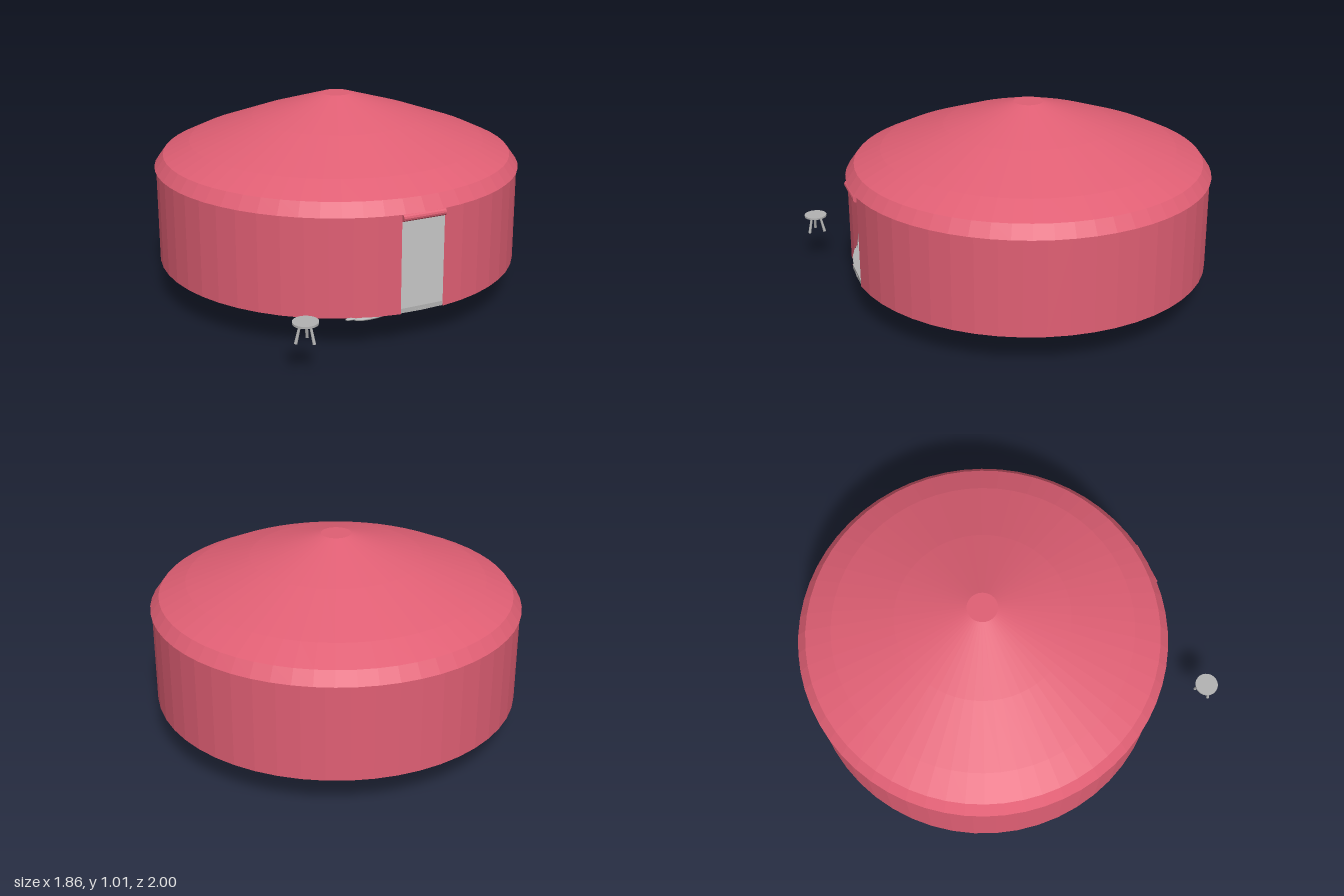
import * as THREE from 'three';

export function createModel() {
  const root = new THREE.Group();
  const red = new THREE.MeshStandardMaterial({ color: 0xe05f74, flatShading: true, side: THREE.DoubleSide });
  red.name = 'red felt';
  const grey = new THREE.MeshStandardMaterial({ color: 0xb2b2b2, side: THREE.DoubleSide });
  grey.name = 'plain grey';

  const add = (parent, name, geo, mat, x = 0, y = 0, z = 0) => {
    const m = new THREE.Mesh(geo, mat);
    m.name = name;
    m.position.set(x, y, z);
    parent.add(m);
    return m;
  };
  const group = (name, x = 0, y = 0, z = 0) => {
    const g = new THREE.Group();
    g.name = name;
    g.position.set(x, y, z);
    root.add(g);
    return g;
  };
  // Tapered rod between two points
  const rod = (parent, name, a, b, ra, rb = ra, sides = 8) => {
    const p = new THREE.Vector3(...a), q = new THREE.Vector3(...b);
    const d = q.clone().sub(p);
    const m = add(parent, name, new THREE.CylinderGeometry(rb, ra, d.length(), sides), grey);
    m.position.copy(p).add(q).multiplyScalar(0.5);
    m.quaternion.setFromUnitVectors(new THREE.Vector3(0, 1, 0), d.normalize());
    return m;
  };
  const ball = (parent, name, pos, size) => {
    const m = add(parent, name, new THREE.SphereGeometry(1, 16, 12), grey, ...pos);
    m.scale.set(...size);
    return m;
  };

  // Tent shell: wall with a door gap, roof and floor
  const tent = group('tent', 0, 0, -0.07);
  const gap = 0.12;
  add(tent, 'wall', new THREE.CylinderGeometry(0.922, 0.922, 0.485, 50, 1, true, gap, Math.PI * 2 - gap * 2),
    red, 0, 0.4075, 0);
  const profile = [[0.92, 0.65], [0.93, 0.65], [0.885, 0.712], [0.75, 0.776], [0.43, 0.892], [0.075, 1.003], [0, 1.003]];
  add(tent, 'roof', new THREE.LatheGeometry(profile.map(p => new THREE.Vector2(...p)), 60), red);
  add(tent, 'floor', new THREE.CylinderGeometry(0.915, 0.915, 0.01, 64), grey, 0, 0.171, 0);

  // Doorway: rolled flap above, sill below
  const flap = add(tent, 'rolledDoorFlap', new THREE.CylinderGeometry(0.018, 0.018, 0.22, 12), red, 0, 0.632, 0.915);
  flap.rotation.z = Math.PI / 2;
  add(tent, 'doorLintel', new THREE.BoxGeometry(0.22, 0.03, 0.02), red, 0, 0.627, 0.9);
  add(tent, 'doorSill', new THREE.BoxGeometry(0.22, 0.022, 0.025), grey, 0, 0.178, 0.9);

  // Crossed wall lattice inside
  const lattice = new THREE.Group();
  lattice.name = 'lattice';
  tent.add(lattice);
  const N = 28, R = 0.9;
  for (let i = 0; i < N; i++) {
    const a = Math.PI + (i / N) * Math.PI * 2;
    for (const s of [-1, 1]) {
      const pts = [];
      for (let k = 0; k <= 4; k++) {
        const t = a + s * (0.53 - (0.18 + k * 0.115)) * 0.9;
        pts.push(new THREE.Vector3(R * Math.sin(t), 0.18 + k * 0.115, R * Math.cos(t)));
      }
      // Keep the doorway clear
      if (pts.some(p => p.z > 0 && Math.abs(p.x) < 0.13)) continue;
      add(lattice, 'latticeSlat', new THREE.TubeGeometry(new THREE.CatmullRomCurve3(pts), 8, 0.006, 5), grey);
    }
  }

  // Round three-legged stools, one outdoors
  const stool = (name, x, z, y) => {
    const g = group(name, x, y, z);
    add(g, 'stoolSeat', new THREE.CylinderGeometry(0.059, 0.059, 0.01, 32), grey, 0, 0.092, 0);
    for (let i = 0; i < 3; i++) {
      const a = i * Math.PI * 2 / 3 + 0.5;
      const s = Math.sin(a), c = Math.cos(a);
      rod(g, 'stoolLeg', [s * 0.047, 0, c * 0.047], [s * 0.025, 0.09, c * 0.025], 0.008, 0.006);
    }
  };
  stool('outdoorStool', -0.63, 0.94, 0.175);

  // Low tables whose feet reach through the floor
  const table = (name, feet, top) => {
    const g = group(name);
    const cx = feet.reduce((s, f) => s + f[0], 0) / 4, cz = feet.reduce((s, f) => s + f[1], 0) / 4;
    for (const [x, z] of feet) rod(g, 'tableLeg', [x, 0.14, z], [x, top, z], 0.009);
    const dx = feet[1][0] - feet[0][0], dz = feet[1][1] - feet[0][1];
    const ex = feet[2][0] - feet[1][0], ez = feet[2][1] - feet[1][1];
    const board = add(g, 'tableTop',
      new THREE.BoxGeometry(Math.hypot(dx, dz) + 0.04, 0.015, Math.hypot(ex, ez) + 0.04), grey, cx, top, cz);
    board.rotation.y = -Math.atan2(dz, dx);
  };
  table('longTable', [[0.585, 0.21], [0.73, 0.27], [0.84, -0.05], [0.7, -0.09]], 0.28);
  table('smallTable', [[-0.66, 0.48], [-0.5, 0.61], [-0.44, 0.54], [-0.61, 0.41]], 0.27);

  // Pelt slipping out under the wall
  const pelt = group('pelt', -0.22, 0.158, 0.775);
  ball(pelt, 'peltBody', [0, 0, 0], [0.11, 0.014, 0.042]).rotation.y = 0.12;
  ball(pelt, 'peltTail', [-0.09, 0.004, 0.005], [0.055, 0.008, 0.016]).rotation.y = 0.15;
  ball(pelt, 'peltHead', [0.1, 0.005, -0.01], [0.035, 0.012, 0.022]);

  // Standing animal
  const animal = group('animal', 0.012, 0, -0.07);
  ball(animal, 'body', [0, 0.212, 0], [0.072, 0.076, 0.15]);
  ball(animal, 'chest', [0, 0.205, 0.085], [0.062, 0.075, 0.06]);
  rod(animal, 'neck', [0, 0.23, 0.1], [0, 0.285, 0.19], 0.045, 0.032, 12);
  ball(animal, 'head', [0, 0.275, 0.215], [0.034, 0.036, 0.06]).rotation.x = 0.5;
  rod(animal, 'tail', [0, 0.25, -0.145], [0, 0.13, -0.165], 0.008, 0.012);
  for (const s of [-1, 1]) {
    ball(animal, 'ear', [s * 0.048, 0.295, 0.185], [0.025, 0.01, 0.012]);
    rod(animal, 'horn', [s * 0.02, 0.3, 0.19], [s * 0.06, 0.335, 0.2], 0.009, 0.003);
    for (const [z, knee, foot] of [[0.095, 0.1, 0.1], [-0.105, -0.128, -0.112]]) {
      const x = s * 0.042;
      rod(animal, 'upperLeg', [x, 0.075, knee], [x * 0.9, 0.19, z], 0.013, 0.034, 10);
      rod(animal, 'lowerLeg', [x * 1.05, 0.018, foot], [x, 0.08, knee], 0.009, 0.013, 10);
      rod(animal, 'hoof', [x * 1.05, 0, foot + 0.006], [x * 1.05, 0.024, foot], 0.015, 0.01, 10);
    }
  }

  // Stove pot near the middle
  const pot = [[0, 0.176], [0.075, 0.176], [0.088, 0.24], [0.078, 0.33], [0.07, 0.35], [0.084, 0.362], [0.084, 0.372], [0, 0.375]];
  add(root, 'stovePot', new THREE.LatheGeometry(pot.map(p => new THREE.Vector2(...p)), 28), grey, 0, 0, -0.33);

  return root;
}
